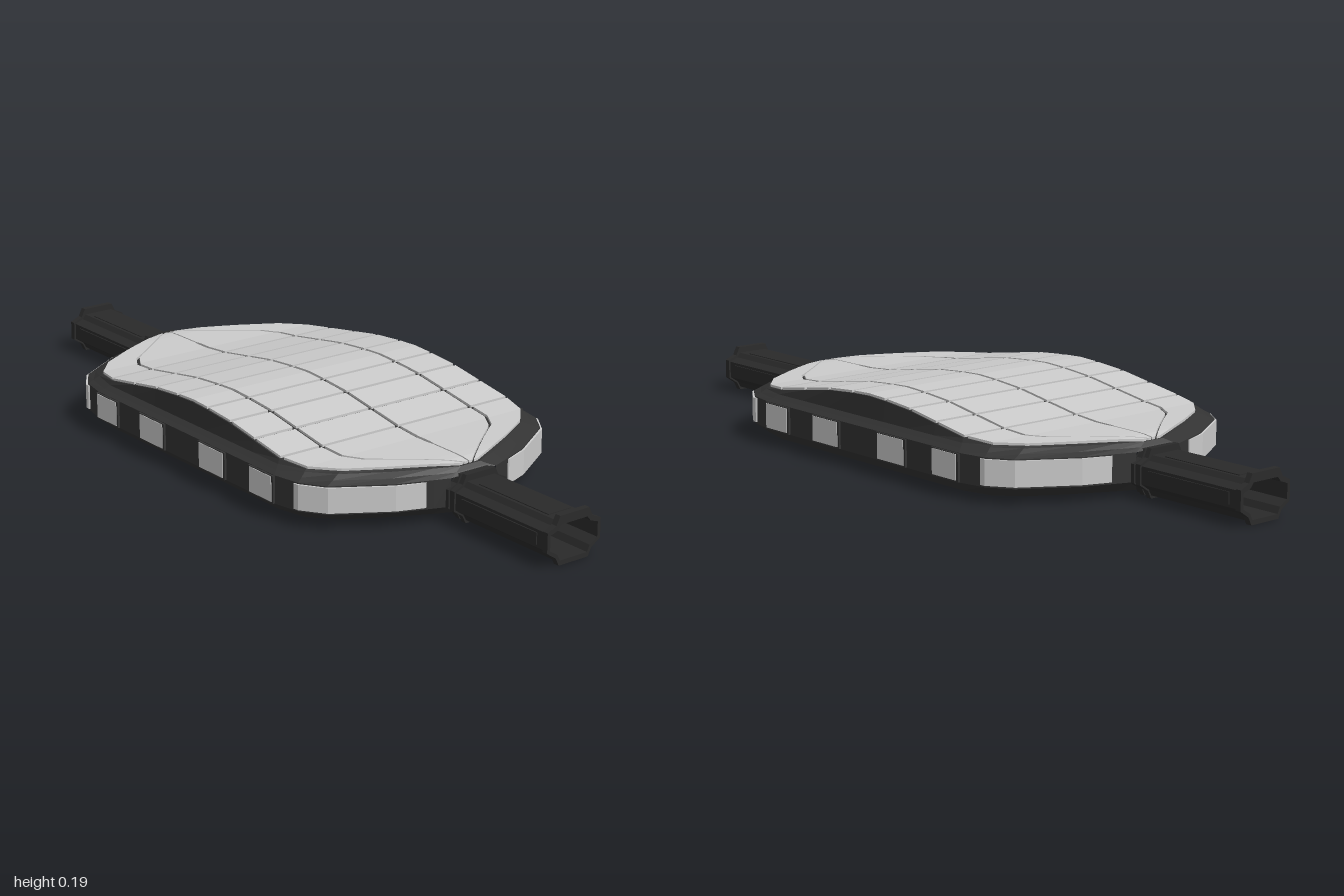
import * as THREE from 'three';

const mat = (color, side = THREE.FrontSide) =>
  new THREE.MeshStandardMaterial({ color, side, flatShading: true });
const dark = mat(0x333333);
const darker = mat(0x2a2a2a, THREE.DoubleSide);
const light = mat(0xcccccc);

// Quarter outlines [x, z] from the middle of the long side to the tip
const straight = [0, 0.065, 0.16, 0.26];
const outer = [...straight.map(x => [x, 0.39]),
  [0.38, 0.39], [0.455, 0.375], [0.515, 0.335], [0.6, 0.2], [0.635, 0.11], [0.65, 0.07]];
const inner = [...straight.map(x => [x, 0.36]),
  [0.36, 0.36], [0.44, 0.34], [0.5, 0.285], [0.555, 0.19], [0.605, 0.09], [0.635, 0.02]];
// Seam between the middle and outer rows of top plates
const seam = [[0, 0.235], [0.37, 0.235], [0.43, 0.23], [0.48, 0.2], [0.55, 0.11], [0.635, 0.008]];
// Height of the arched top along x
const arch = [[0, 0.19], [0.065, 0.187], [0.16, 0.179], [0.26, 0.163], [0.36, 0.147],
  [0.44, 0.14], [0.6, 0.139], [0.635, 0.134]];

function at(pts, x) {
  x = Math.abs(x);
  for (let i = 1; i < pts.length; i++) {
    const [a, b] = [pts[i - 1], pts[i]];
    if (x <= b[0]) return a[1] + (b[1] - a[1]) * (x - a[0]) / (b[0] - a[0]);
  }
  return pts[pts.length - 1][1];
}

function quadGeometry(points, quads, flip = false) {
  const g = new THREE.BufferGeometry();
  g.setAttribute('position', new THREE.Float32BufferAttribute(points.flat(), 3));
  g.setIndex(quads.flatMap(([a, b, c, d]) => flip ? [a, c, b, a, d, c] : [a, b, c, a, c, d]));
  const flat = g.toNonIndexed();
  flat.computeVertexNormals();
  return flat;
}

function add(parent, name, geometry, material) {
  const m = new THREE.Mesh(geometry, material);
  m.name = name;
  parent.add(m);
  return m;
}

// Hull: rings lofted from floor to arched rim, open at both tips
function hullGeometry() {
  const n = outer.length - 1, N = 4 * n + 2;
  const rings = [[1, 0.012], [0, 0.04], [0, 0.112], [0.4, 0.12], [0.8, 0.13], [1, null]];
  const points = [], quads = [];
  for (const [k, y] of rings) {
    const q = outer.map((o, i) => [
      o[0] + (inner[i][0] - o[0]) * k, o[1] + (inner[i][1] - o[1]) * k]);
    const back = q.slice(1).reverse();
    const loop = [...q, ...back.map(p => [p[0], -p[1]]),
      ...q.map(p => [-p[0], -p[1]]), ...back.map(p => [-p[0], p[1]])];
    loop.forEach(([x, z]) => points.push([x, y ?? at(arch, x) - 0.006, z]));
  }
  for (let r = 0; r < rings.length - 1; r++)
    for (let i = 0; i < N; i++) {
      if (r < 2 && (i === n || i === 3 * n + 1)) continue;
      const j = (i + 1) % N;
      quads.push([r * N + i, r * N + j, (r + 1) * N + j, (r + 1) * N + i]);
    }
  const top = (rings.length - 1) * N;
  for (const off of [0, 2 * n + 1])
    for (let i = 0; i < n; i++) {
      const c = [i, i + 1, 2 * n - i, 2 * n + 1 - i].map(v => (v + off) % N);
      quads.push(c.map(v => v + top), [...c].reverse());
    }
  return quadGeometry(points, quads);
}

// Thin plate following the arch between two z curves
function plateGeometry(xs, zLow, zHigh, sx, sz) {
  const points = [], quads = [];
  for (const x of xs) {
    const y = at(arch, x), a = zLow(x), b = Math.max(a + 0.0005, zHigh(x));
    for (const [py, z] of [[y, a], [y, b], [y - 0.008, b], [y - 0.008, a]])
      points.push([x * sx, py, z * sz]);
  }
  const last = (xs.length - 1) * 4;
  for (let i = 0; i < last; i += 4)
    for (let k = 0; k < 4; k++) {
      const l = (k + 1) % 4;
      quads.push([i + k, i + l, i + 4 + l, i + 4 + k]);
    }
  quads.push([3, 2, 1, 0], [last, last + 1, last + 2, last + 3]);
  return quadGeometry(points, quads, sx * sz < 0);
}

function addPlates(parent) {
  const gap = 0.005;
  const cuts = [0.065, 0.16, 0.26, 0.365];
  const spans = [[-0.06, 0, 0.06]];
  for (let i = 0; i < 3; i++) spans.push([cuts[i] + gap, cuts[i + 1] - gap]);
  spans.push([0.37, 0.4, 0.43, 0.44, 0.48, 0.5, 0.53, 0.555, 0.58, 0.605, 0.63]);
  const centre = x => (x < 0.5 ? gap : 0.002);
  const seamGap = x => (x < 0.5 ? gap : 0.003);
  spans.forEach((xs, i) => {
    for (const sx of i ? [1, -1] : [1])
      for (const sz of [1, -1]) {
        add(parent, 'middlePlate', plateGeometry(xs, centre,
          x => at(seam, x) - seamGap(x), sx, sz), light);
        add(parent, 'outerPlate', plateGeometry(xs, x => at(seam, x) + seamGap(x),
          x => at(inner, x) - 0.004, sx, sz), light);
      }
  });
}

// Light panels around the side wall
function addSidePanels(parent) {
  for (const sz of [1, -1])
    for (const sx of [1, -1]) {
      for (const [x, w] of [[0.13, 0.1], [0.333, 0.088]]) {
        add(parent, 'panelBacking', new THREE.BoxGeometry(w + 0.012, 0.07, 0.012), dark)
          .position.set(sx * x, 0.076, sz * 0.39);
        add(parent, 'sidePanel', new THREE.BoxGeometry(w, 0.064, 0.012), light)
          .position.set(sx * x, 0.077, sz * 0.3915);
      }
      const path = [[0.445, 0.381], [0.459, 0.379], [0.52, 0.337], [0.605, 0.201], [0.631, 0.13]];
      const inside = path.map(([x, z]) => [x - 0.012, z - 0.012]).reverse();
      const shape = new THREE.Shape(
        [...path, ...inside].map(([x, z]) => new THREE.Vector2(x * sx, z * sz)));
      const g = new THREE.ExtrudeGeometry(shape, { depth: 0.064, bevelEnabled: false });
      g.rotateX(Math.PI / 2).translate(0, 0.109, 0);
      add(parent, 'cornerPanel', g, light);
    }
}

// Hollow eight-sided sleeve section along x
const bore = [[0.042, 0.012], [0.05, 0.028], [0.073, 0.042], [0.073, 0.08], [0.05, 0.088], [0.04, 0.1]];
function sleeveGeometry(profile, x0, x1) {
  const loop = half => [...half, ...half.map(([z, y]) => [-z, y]).reverse()]
    .map(p => new THREE.Vector2(...p));
  const shape = new THREE.Shape(loop(profile));
  shape.holes.push(new THREE.Path(loop(bore)));
  return new THREE.ExtrudeGeometry(shape, { depth: x1 - x0, bevelEnabled: false })
    .rotateY(Math.PI / 2).translate(x0, 0, 0);
}

function addConnector(parent, side) {
  const arm = new THREE.Group();
  arm.name = side > 0 ? 'leftConnector' : 'rightConnector';
  const collar = [[0.045, 0], [0.055, 0.02], [0.082, 0.038], [0.082, 0.088], [0.056, 0.1], [0.045, 0.122]];
  const sleeve = [[0.044, 0.008], [0.053, 0.024], [0.077, 0.04], [0.077, 0.084], [0.053, 0.094], [0.043, 0.106]];
  add(arm, 'sleeve', sleeveGeometry(sleeve, 0.63, 0.99), darker);
  add(arm, 'innerCollar', sleeveGeometry(collar, 0.662, 0.676), darker);
  add(arm, 'innerRing', sleeveGeometry(collar.map(([z, y]) => [z, 0.06 + (y - 0.06) * 0.93]),
    0.64, 0.655), darker);
  add(arm, 'outerCollar', sleeveGeometry(collar, 0.984, 1), darker);
  // Raised plates on top, bottom and sides
  for (const y of [0.105, 0.009])
    add(arm, 'sleevePlate', new THREE.BoxGeometry(0.24, 0.006, 0.07), darker).position.set(0.83, y, 0);
  for (const z of [0.077, -0.077])
    add(arm, 'sideRail', new THREE.BoxGeometry(0.26, 0.03, 0.006), darker).position.set(0.83, 0.062, z);
  if (side < 0) arm.rotation.y = Math.PI;
  parent.add(arm);
}

export function createModel() {
  const model = new THREE.Group();
  model.name = 'archedCapsuleWithConnectors';
  add(model, 'hull', hullGeometry(), dark);
  addPlates(model);
  addSidePanels(model);
  addConnector(model, 1);
  addConnector(model, -1);
  return model;
}
